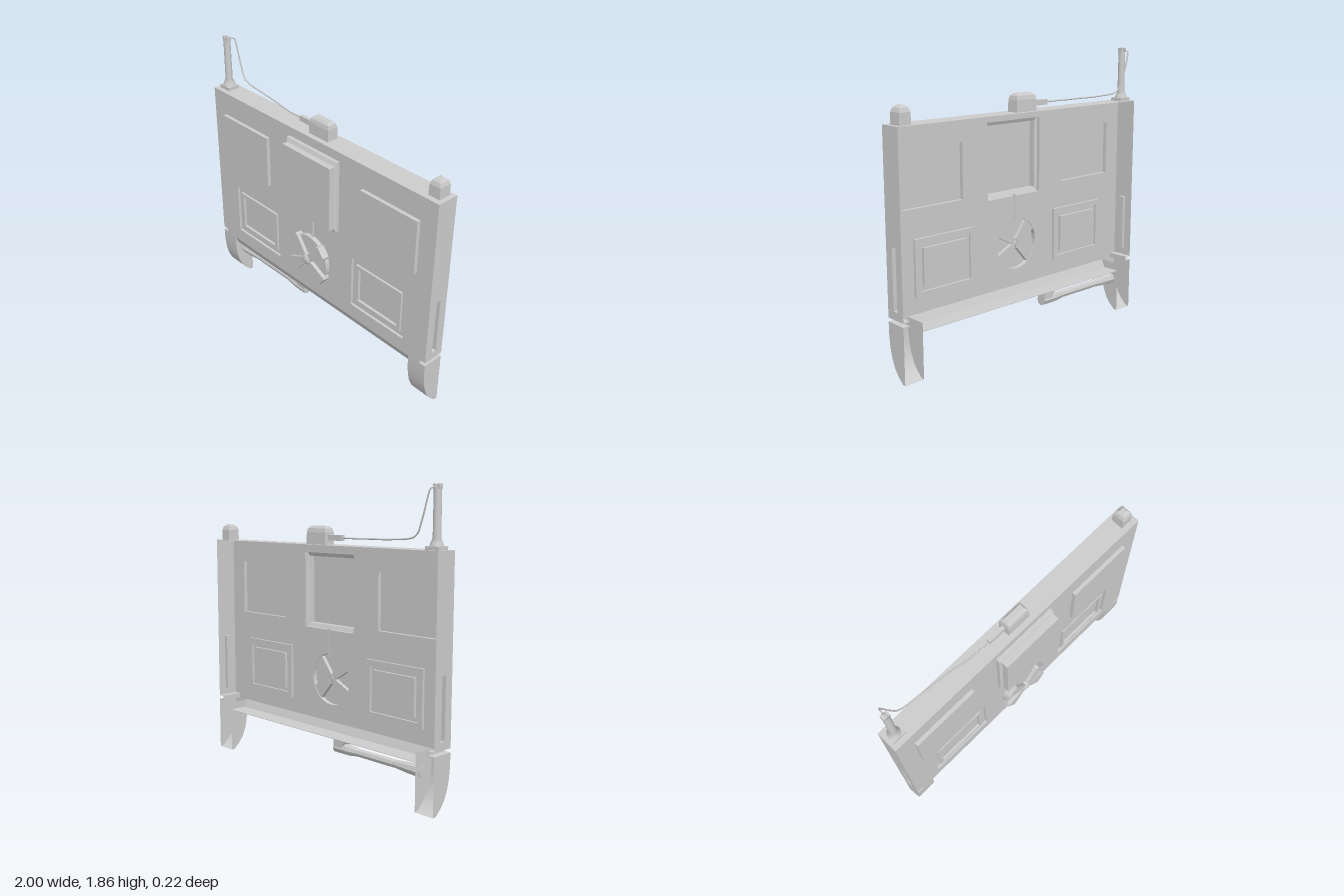
import * as THREE from 'three';

const FRONT = 0.035, BACK = -0.11;
const mat = new THREE.MeshStandardMaterial({ color: 0xcccccc, side: THREE.DoubleSide });

function add(parent, name, geometry) {
  const mesh = new THREE.Mesh(geometry, mat);
  mesh.name = name;
  parent.add(mesh);
  return mesh;
}

// Counter-clockwise outlines, seen from +z
const rect = (x0, x1, y0, y1, z) => [[x0, y0, z], [x1, y0, z], [x1, y1, z], [x0, y1, z]];
const circle = (cx, cy, r, z, n = 28) => Array.from({ length: n }, (_, i) => {
  const a = i / n * Math.PI * 2;
  return [cx + r * Math.cos(a), cy + r * Math.sin(a), z];
});
const inset = (r, d, z) => rect(r[0] + d, r[1] - d, r[2] + d, r[3] - d, z);

// Flat-faced skin through a list of outlines, optionally closed at the last one
function loft(loops, cap = true) {
  const p = [], n = loops[0].length;
  for (let k = 0; k + 1 < loops.length; k++) {
    for (let i = 0; i < n; i++) {
      const j = (i + 1) % n, a = loops[k], b = loops[k + 1];
      p.push(...a[i], ...a[j], ...b[j], ...a[i], ...b[j], ...b[i]);
    }
  }
  if (cap) {
    const e = loops.at(-1);
    for (let i = 1; i + 1 < n; i++) p.push(...e[0], ...e[i], ...e[i + 1]);
  }
  const g = new THREE.BufferGeometry();
  g.setAttribute('position', new THREE.Float32BufferAttribute(p, 3));
  g.computeVertexNormals();
  return g;
}

// Flat sheet with holes
function sheet(outline, holes) {
  const v = (l) => l.map(([x, y]) => new THREE.Vector2(x, y));
  const s = new THREE.Shape(v(outline));
  s.holes = holes.map((h) => new THREE.Path(v(h)));
  return new THREE.ShapeGeometry(s);
}

function box(parent, name, x0, x1, y0, y1, z0, z1) {
  const g = new THREE.BoxGeometry(x1 - x0, y1 - y0, z1 - z0);
  g.translate((x0 + x1) / 2, (y0 + y1) / 2, (z0 + z1) / 2);
  return add(parent, name, g);
}

export function createModel() {
  const model = new THREE.Group();
  model.name = 'panelGate';

  // Front plate, open to its pockets from behind
  const upper = [[-0.88, -0.425, 0.99, 1.345], [0.43, 0.88, 0.99, 1.345]];
  const lower = [[-0.80, -0.345, 0.45, 0.81], [0.355, 0.81, 0.45, 0.81]];
  const centre = [-0.22, 0.23, 0.95, 1.44];
  const wheelAt = [-0.015, 0.63];
  const holes = [...upper, ...lower, centre].map((r) => rect(...r, 0));
  holes.push(circle(...wheelAt, 0.168, 0));
  const outline = [[-1, 0.35], [1, 0.35], [1, 0.355], [0.955, 0.355], [0.955, 0.38], [1, 0.38], [1, 1.5],
    [-1, 1.5], [-1, 0.38], [-0.955, 0.38], [-0.955, 0.355], [-1, 0.355]];
  add(model, 'frontPlate', sheet(outline, holes).translate(0, 0, FRONT));

  // Raised upper panels and stepped lower panels
  for (const r of upper) add(model, 'upperPanel', loft([rect(...r, FRONT), rect(...r, 0.06)]));
  for (const r of lower) {
    add(model, 'lowerPanel', loft([rect(...r, FRONT), rect(...r, 0.018), inset(r, 0.034, 0.018),
      inset(r, 0.034, 0.033), inset(r, 0.06, 0.033), inset(r, 0.06, 0.015)]));
  }

  // Central bevelled panel
  add(model, 'centralPanel', loft([rect(...centre, FRONT), rect(...centre, 0.058),
    rect(-0.205, 0.225, 0.975, 1.415, 0.07), rect(-0.205, 0.225, 0.975, 1.415, 0.11)]));

  // Wheel with four arms and a domed hub
  const wheel = new THREE.Group();
  wheel.name = 'wheel';
  model.add(wheel);
  add(wheel, 'wheelDisc', loft([circle(...wheelAt, 0.168, FRONT), circle(...wheelAt, 0.168, 0.065)]));
  for (const angle of [40, 137, 217, 322]) {
    const arm = new THREE.Shape([[0.02, -0.02], [0.165, -0.05], [0.182, -0.04], [0.182, 0.04],
      [0.165, 0.05], [0.02, 0.02]].map(([x, y]) => new THREE.Vector2(x, y)));
    const m = add(wheel, 'wheelArm', new THREE.ExtrudeGeometry(arm, { depth: 0.05, bevelEnabled: false }));
    m.position.set(...wheelAt, 0.04);
    m.rotation.z = angle * Math.PI / 180;
  }
  const hub = add(wheel, 'hub', new THREE.SphereGeometry(0.045, 16, 10));
  hub.scale.z = 0.7;
  hub.position.set(...wheelAt, 0.072);
  box(model, 'wheelRod', -0.006, 0.004, 0.79, 0.96, FRONT - 0.005, 0.048);

  // Top wall and sloping lower lip with floor
  box(model, 'topWall', -1, 1, 1.497, 1.5, BACK, FRONT);
  const lip = new THREE.BufferGeometry().setFromPoints([[-1, 1], [1, 1], [-1, 0], [1, 0]].map(
    ([x, t]) => new THREE.Vector3(x * 0.865, 0.295 + t * 0.055, t ? FRONT : 0.01)));
  lip.setIndex([0, 2, 3, 0, 3, 1]);
  lip.computeVertexNormals();
  add(model, 'lowerLip', lip);
  box(model, 'floor', -0.865, 0.865, 0.295, 0.298, BACK, 0.01);

  // Side walls with slots, notches and curved legs, mirrored
  for (const side of [1, -1]) {
    const half = new THREE.Group();
    half.name = side > 0 ? 'leftSide' : 'rightSide';
    half.scale.x = side;
    model.add(half);

    const slot = [0.02, 0.055, 0.43, 0.81];
    const wall = new THREE.Group();
    wall.name = 'sideWall';
    wall.position.x = 1;
    wall.rotation.y = Math.PI / 2;
    half.add(wall);
    add(wall, 'sidePlate', sheet(rect(-FRONT, -BACK, 0.38, 1.5, 0), [rect(...slot, 0)]));
    add(wall, 'sideSlot', loft([rect(...slot, 0), rect(...slot, -0.025)]));

    box(half, 'notchTop', 0.955, 1, 0.38, 0.382, BACK, FRONT);
    box(half, 'notchWall', 0.953, 0.955, 0.35, 0.38, BACK, FRONT);
    box(half, 'legTop', 0.955, 1, 0.35, 0.355, BACK, FRONT);

    // Leg cheeks and curved front skin
    const profile = [[0.035, 0.35], [0.034, 0.28], [0.026, 0.2], [0.012, 0.14], [-0.014, 0.08], [-0.045, 0.04], [-0.085, 0.003]];
    const cheek = [...profile, [-0.11, 0], [BACK, 0.35]].map(([z, y]) => [-z, y]);
    for (const x of [0.865, 1]) {
      const c = add(half, 'legCheek', sheet(cheek, []));
      c.position.x = x;
      c.rotation.y = Math.PI / 2;
    }
    const skin = new THREE.PlaneGeometry(0.135, 1, 1, profile.length);
    const edge = [...profile, [BACK, 0]];
    for (let i = 0; i < edge.length; i++) {
      for (const k of [0, 1]) skin.attributes.position.setXYZ(i * 2 + k, 0.865 + k * 0.135, edge[i][1], edge[i][0]);
    }
    skin.computeVertexNormals();
    add(half, 'legFront', skin);
  }

  // Caps on the top edge
  const cap = (name, x0, x1, z0, z1, steps) => add(model, name,
    loft(steps.map(([y, d]) => inset([x0, x1, -z1, -z0], d, y))).rotateX(-Math.PI / 2));
  cap('middleCap', -0.08, 0.09, -0.08, 0, [[1.5, 0], [1.575, 0.002], [1.6, 0.008], [1.615, 0.022]]);
  cap('endCap', 0.89, 0.97, -0.085, 0, [[1.5, 0], [1.57, 0.001], [1.595, 0.01], [1.61, 0.027]]);
  box(model, 'connector', -0.2, -0.08, 1.527, 1.562, -0.055, -0.03);

  // Corner post with a forked tip
  box(model, 'postBase', -0.98, -0.885, 1.5, 1.522, -0.085, 0);
  const post = add(model, 'post', new THREE.LatheGeometry([[0.042, 1.52], [0.036, 1.54], [0.024, 1.565],
    [0.023, 1.84], [0.014, 1.84], [0.014, 1.8], [0, 1.8]].map(([x, y]) => new THREE.Vector2(x, y)), 12));
  post.position.set(-0.935, 0, -0.043);
  for (const x of [-0.951, -0.919]) box(model, 'postFork', x - 0.007, x + 0.007, 1.83, 1.86, -0.058, -0.028);

  // Cable from connector to post
  const path = new THREE.CatmullRomCurve3([[-0.19, 1.545, -0.042], [-0.32, 1.545, -0.044], [-0.47, 1.548, -0.066],
    [-0.65, 1.552, -0.085], [-0.83, 1.578, -0.098], [-0.88, 1.67, -0.104], [-0.915, 1.78, -0.105],
    [-0.93, 1.835, -0.098], [-0.935, 1.843, -0.06]].map((p) => new THREE.Vector3(...p)));
  add(model, 'cable', new THREE.TubeGeometry(path, 48, 0.005, 6));

  // Handle under the floor
  const handle = new THREE.Group();
  handle.name = 'handle';
  handle.position.set(0, 0.23, -0.05);
  model.add(handle);
  const grip = new THREE.LatheGeometry([[0, -0.87], [0.036, -0.87], [0.04, -0.83], [0.036, -0.8], [0.036, -0.78],
    [0.024, -0.65], [0.027, -0.645], [0.026, -0.35], [0.036, -0.27], [0.036, -0.16], [0, -0.16]]
    .map(([r, x]) => new THREE.Vector2(r, x)), 8).toNonIndexed();
  grip.rotateZ(-Math.PI / 2);
  grip.computeVertexNormals();
  add(handle, 'handleGrip', grip);
  const mount = new THREE.Shape([[-0.23, 0.01], [-0.16, 0.01], [-0.16, 0.068], [-0.265, 0.068]]
    .map(([x, y]) => new THREE.Vector2(x, y)));
  add(handle, 'handleMount', new THREE.ExtrudeGeometry(mount, { depth: 0.064, bevelEnabled: false }).translate(0, 0, -0.032));

  return model;
}
